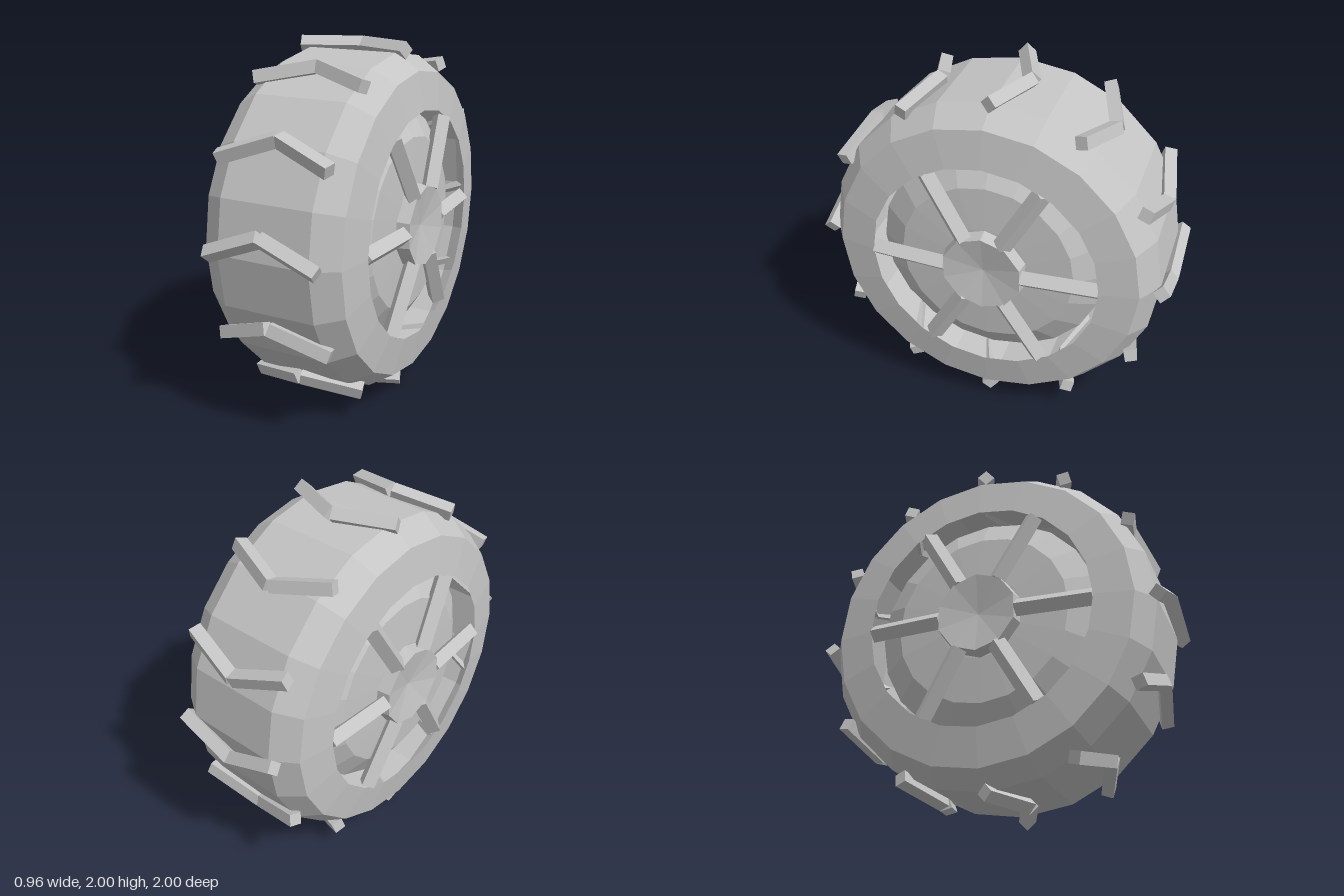
import * as THREE from 'three';

const grey = new THREE.MeshStandardMaterial({ color: 0xc4c4c4, side: THREE.DoubleSide });
grey.name = 'plain grey';

// Gives every face its own normal for a faceted look
function facet(geometry) {
  const flat = geometry.toNonIndexed();
  flat.computeVertexNormals();
  return flat;
}

function part(name, geometry) {
  const mesh = new THREE.Mesh(geometry, grey);
  mesh.name = name;
  return mesh;
}

// Spins a profile of [radius, x] pairs around the x axis
function spin(profile, sides, start = 0) {
  const points = profile.map(([r, x]) => new THREE.Vector2(r, x));
  return facet(new THREE.LatheGeometry(points, sides, start).rotateZ(-Math.PI / 2));
}

// Square bar standing on its edge, along y
function diamondBar(radius, length) {
  return facet(new THREE.CylinderGeometry(radius, radius, length, 4));
}

export function createModel() {
  const model = new THREE.Group();
  model.name = 'wheel';
  const wheel = new THREE.Group();
  wheel.name = 'wheelParts';
  wheel.position.y = 1;
  model.add(wheel);

  // Hollow tyre shell, open at both sides
  wheel.add(part('tyre', spin([
    [0.64, -0.434], [0.85, -0.4], [0.937, -0.265],
    [0.937, 0.265], [0.85, 0.4], [0.64, 0.434],
  ], 20)));

  // Rim drum with bevelled, slightly domed faces
  wheel.add(part('rim', spin([
    [0, -0.39], [0.24, -0.39], [0.49, -0.375], [0.636, -0.28],
    [0.636, 0.28], [0.49, 0.375], [0.24, 0.39], [0, 0.39],
  ], 20)));

  // Tapered, dished hub cap and six spokes on each side
  const capGeometry = spin([[0.24, 0.38], [0.226, 0.463], [0, 0.425]], 10, Math.PI / 2);
  const spokeGeometry = diamondBar(0.052, 0.42);
  for (const turn of [0, Math.PI]) {
    const side = new THREE.Group();
    side.name = turn ? 'rightFace' : 'leftFace';
    side.rotation.y = turn;
    side.add(part('hubCap', capGeometry));
    for (let i = 0; i < 6; i++) {
      const arm = new THREE.Group();
      arm.name = 'spokeArm';
      arm.rotation.x = Math.PI / 2 + (i * Math.PI) / 3;
      const spoke = part('spoke', spokeGeometry);
      spoke.position.set(0.416, 0.425, 0);
      spoke.rotation.z = 0.06;
      arm.add(spoke);
      side.add(arm);
    }
    wheel.add(side);
  }

  // Twelve chevron treads, each of two bars
  const barGeometry = diamondBar(0.048, 0.343).rotateZ(Math.PI / 2);
  for (let i = 0; i < 12; i++) {
    const tread = new THREE.Group();
    tread.name = 'tread';
    tread.rotation.x = (i * Math.PI) / 6;
    for (const s of [-1, 1]) {
      const bar = part('treadBar', barGeometry);
      bar.position.set(s * 0.162, 0.952, -0.0675);
      bar.rotation.y = -s * 0.375;
      tread.add(bar);
    }
    wheel.add(tread);
  }
  return model;
}
